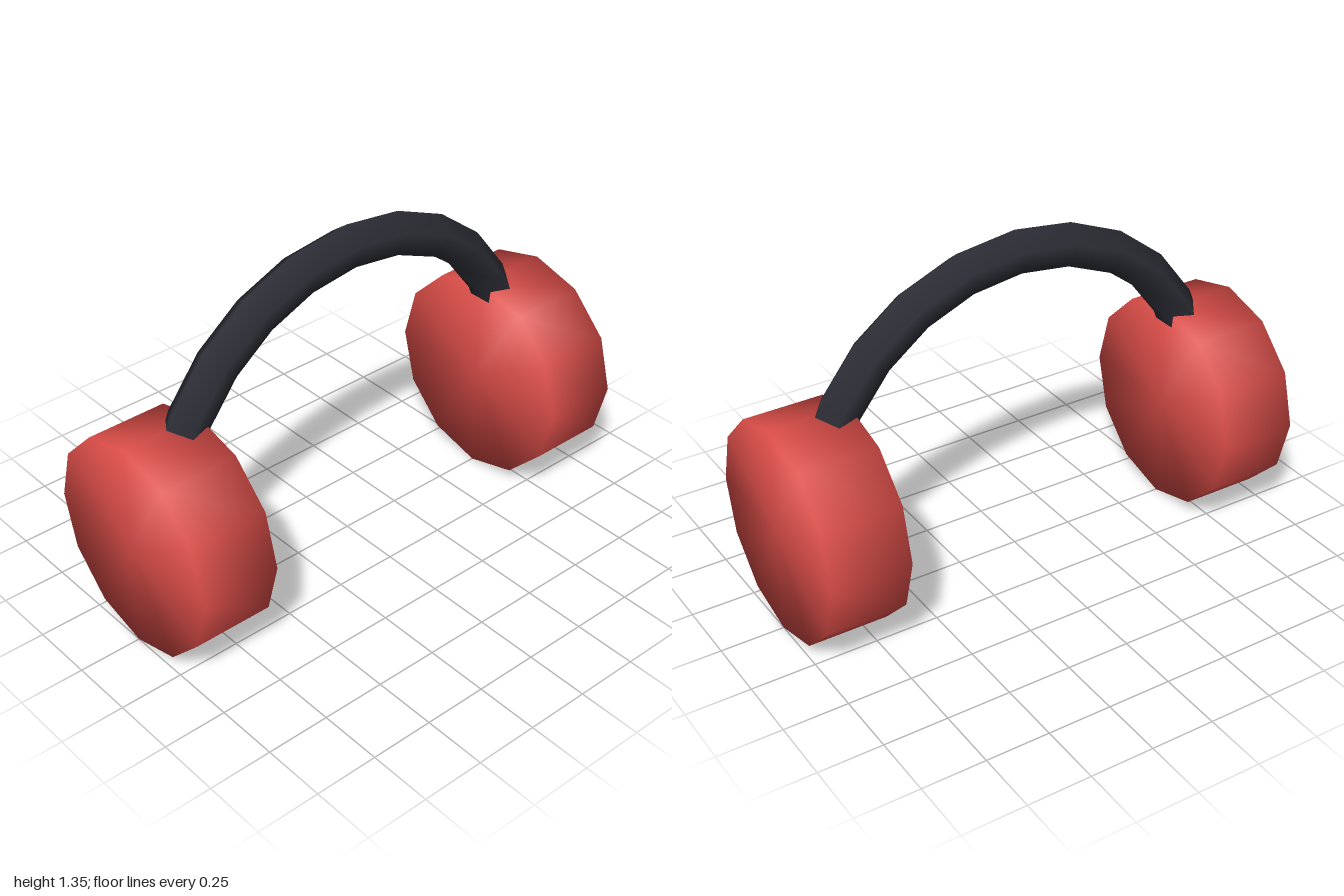
import * as THREE from 'three';
import { mergeVertices } from 'three/addons/utils/BufferGeometryUtils.js';

const CUP_RADIUS = 0.42;
const CUP_WIDTH = 0.315;
const BAND_RADIUS = 0.8425;

// Weld all corners so the shading runs smoothly over the edges
function smoothWeld(geometry) {
  geometry.deleteAttribute('normal');
  geometry.deleteAttribute('uv');
  const welded = mergeVertices(geometry);
  welded.computeVertexNormals();
  return welded;
}

export function createModel() {
  const model = new THREE.Group();
  model.name = 'headphones';

  const red = new THREE.MeshStandardMaterial({ color: 0xdb4d48 });
  red.name = 'red';
  const charcoal = new THREE.MeshStandardMaterial({ color: 0x2d2e36 });
  charcoal.name = 'charcoal';

  // Ear cups: twelve-sided drums lying along x
  const cupGeometry = smoothWeld(
    new THREE.CylinderGeometry(CUP_RADIUS, CUP_RADIUS, CUP_WIDTH, 12).rotateZ(Math.PI / 2)
  );
  for (const [name, side] of [['leftEarCup', 1], ['rightEarCup', -1]]) {
    const cup = new THREE.Mesh(cupGeometry, red);
    cup.name = name;
    cup.position.set(side * (1 - CUP_WIDTH / 2), CUP_RADIUS, 0);
    model.add(cup);
  }

  // Headband: five-sided half ring that ends inside the cups
  const band = new THREE.Mesh(
    new THREE.TorusGeometry(BAND_RADIUS, 0.084, 5, 12, Math.PI),
    charcoal
  );
  band.name = 'headband';
  band.position.y = CUP_RADIUS;
  model.add(band);

  return model;
}
